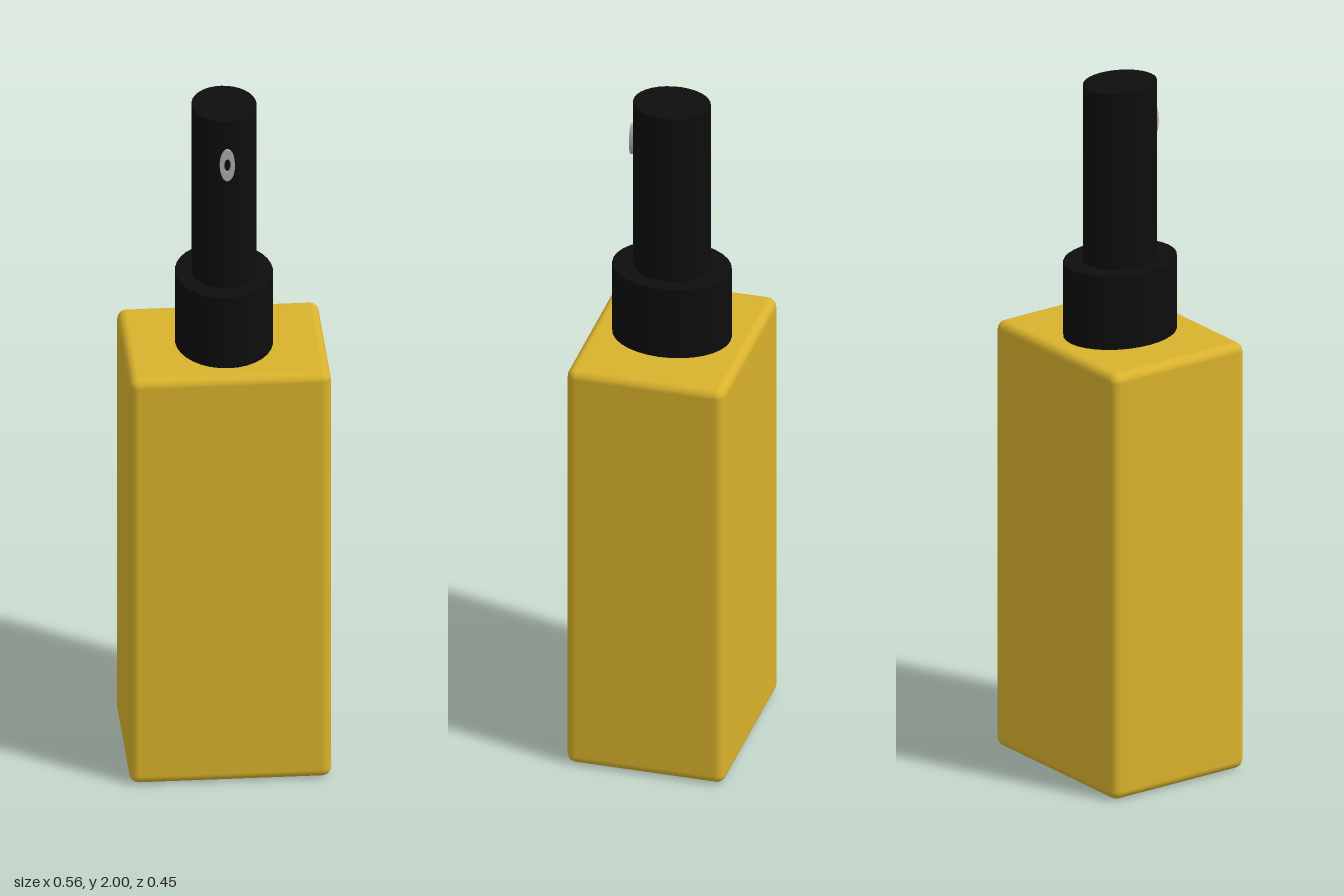
import * as THREE from 'three';
import { RoundedBoxGeometry } from 'three/addons/geometries/RoundedBoxGeometry.js';

const paint = (color) => new THREE.MeshStandardMaterial({ color });

export function createModel() {
  const group = new THREE.Group();
  const amber = paint(0xd9b22c), black = paint(0x0d0d0d), grey = paint(0xaaaaaa);

  const add = (name, geometry, material) => {
    const mesh = new THREE.Mesh(geometry, material);
    mesh.name = name;
    group.add(mesh);
    return mesh;
  };

  // upright cylinder with an elliptical cross-section
  const ellipticalCylinder = (name, rx, rz, bottom, top) => {
    const geometry = new THREE.CylinderGeometry(1, 1, top - bottom, 32);
    geometry.scale(rx, 1, rz).translate(0, (top + bottom) / 2, 0);
    return add(name, geometry, black);
  };

  // bottle body with softly rounded edges
  const body = new RoundedBoxGeometry(0.56, 1.26, 0.454, 4, 0.026);
  body.translate(0, 0.632, 0);
  add('bottleBody', body, amber);

  // collar and spray head
  ellipticalCylinder('collar', 0.136, 0.168, 1.255, 1.48);
  ellipticalCylinder('sprayHead', 0.09, 0.109, 1.47, 2);

  // nozzle ring on the front of the spray head
  const ring = new THREE.Shape().absellipse(0, 0, 0.021, 0.048, 0, Math.PI * 2);
  ring.holes.push(new THREE.Path().absellipse(0, 0, 0.009, 0.02, 0, Math.PI * 2, true));
  const nozzle = new THREE.ExtrudeGeometry(ring, { depth: 0.018, bevelEnabled: false, curveSegments: 24 });
  nozzle.translate(0, 1.867, 0.1);
  add('nozzleRing', nozzle, grey);

  return group;
}
